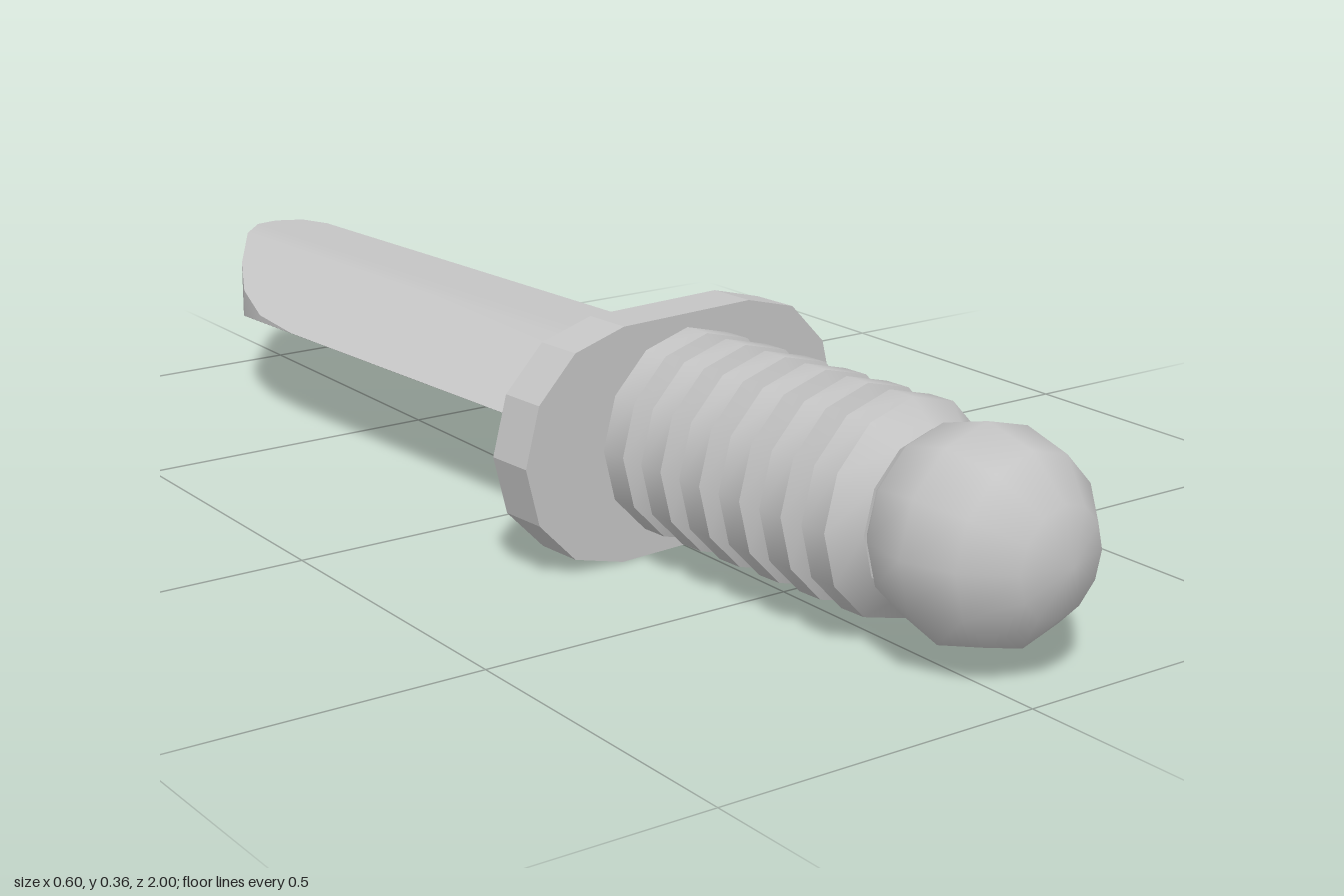
import * as THREE from 'three';
import { toCreasedNormals } from 'three/addons/utils/BufferGeometryUtils.js';

const CREASE = 0.6;

// Wedge blade: flat from spine to ridge (x = 0), then bevelled to a sharp edge.
function bladeGeometry() {
  const edgeX = -0.157, half = 0.08;
  // [x, z of the tip outline], from cutting edge to spine
  const outline = [
    [edgeX, -0.784], [-0.146, -0.899], [-0.112, -1.003], [-0.062, -1.09], [0, -1.168],
    [0.053, -1.218], [0.094, -1.222], [0.137, -1.198], [0.155, -1.143],
  ];
  const stations = outline.map(([x, z]) => {
    const h = half * Math.min(1, (x - edgeX) / -edgeX);
    return { bt: [x, h, 0], bb: [x, -h, 0], tt: [x, h, z], tb: [x, -h, z] };
  });
  const pos = [];
  const quad = (a, b, c, d) => pos.push(...a, ...b, ...c, ...a, ...c, ...d);
  for (let i = 0; i < stations.length - 1; i++) {
    const p = stations[i], q = stations[i + 1];
    quad(p.bt, q.bt, q.tt, p.tt); // top
    quad(q.bb, p.bb, p.tb, q.tb); // bottom
    quad(q.tt, q.tb, p.tb, p.tt); // tip wall
    quad(p.bb, q.bb, q.bt, p.bt); // base
  }
  const s = stations[stations.length - 1];
  quad(s.bb, s.tb, s.tt, s.bt); // spine
  const geo = new THREE.BufferGeometry();
  geo.setAttribute('position', new THREE.Float32BufferAttribute(pos, 3));
  return toCreasedNormals(geo, CREASE);
}

// Stadium-shaped guard plate
function guardGeometry() {
  const r = 0.178, c = 0.12, depth = 0.076;
  const shape = new THREE.Shape();
  for (const side of [0, 1]) {
    for (let i = 0; i <= 6; i++) {
      const a = -Math.PI / 2 + side * Math.PI + (i * Math.PI) / 6;
      const x = Math.cos(a) * r + (side ? -c : c), y = Math.sin(a) * r;
      if (side === 0 && i === 0) shape.moveTo(x, y);
      else shape.lineTo(x, y);
    }
  }
  return new THREE.ExtrudeGeometry(shape, { depth, bevelEnabled: false }).translate(0, 0, -depth / 2);
}

// Ribbed grip turned around the long axis
function gripGeometry() {
  const outer = 0.157, inner = 0.125;
  const profile = [[0, 0.02], [outer, 0.02]];
  for (let i = 0; i < 5; i++) {
    const z = 0.101 + i * 0.0815;
    profile.push([outer, z - 0.02], [inner, z - 0.006], [inner, z + 0.006], [outer, z + 0.02]);
  }
  profile.push([outer, 0.49], [0.122, 0.528], [0, 0.528]);
  const geo = new THREE.LatheGeometry(profile.map(([x, y]) => new THREE.Vector2(x, y)), 12);
  return toCreasedNormals(geo.rotateX(Math.PI / 2), CREASE);
}

export function createModel() {
  const grey = new THREE.MeshStandardMaterial({ color: 0xc4c4c4 });
  grey.name = 'plainGrey';

  const knife = new THREE.Group();
  knife.name = 'knife';
  const add = (name, geo) => {
    const mesh = new THREE.Mesh(geo, grey);
    mesh.name = name;
    knife.add(mesh);
  };
  add('blade', bladeGeometry());
  add('guard', guardGeometry());
  add('grip', gripGeometry());
  add('pommel', new THREE.SphereGeometry(0.155, 12, 6).rotateX(Math.PI / 2).translate(0, 0, 0.623));

  // The knife lies slightly turned about the vertical
  knife.position.set(0, 0.179, 0.225);
  knife.rotation.y = 0.0765;

  const model = new THREE.Group();
  model.name = 'model';
  model.add(knife);
  return model;
}
